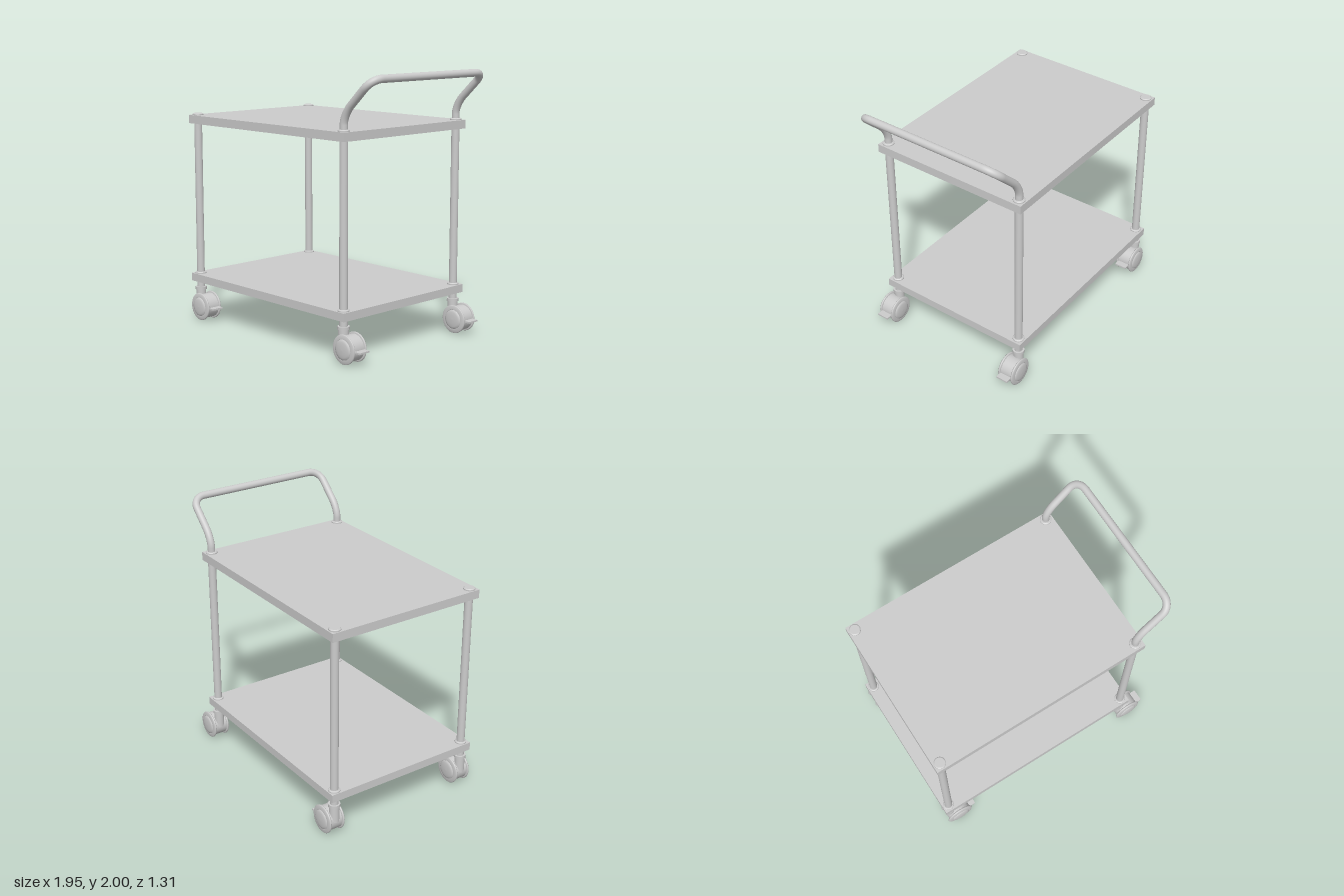
import * as THREE from 'three';

const material = new THREE.MeshStandardMaterial({ color: 0xcccccc });
const POST_X = [-0.93, 0.687], POST_Z = [-0.577, 0.577];
const TUBE = 0.03;

function add(parent, name, geometry, x = 0, y = 0, z = 0) {
  const mesh = new THREE.Mesh(geometry, material);
  mesh.name = name;
  mesh.position.set(x, y, z);
  parent.add(mesh);
  return mesh;
}

// Vertical cylinder spanning y0..y1
function rod(parent, name, r, y0, y1, x = 0, z = 0) {
  return add(parent, name, new THREE.CylinderGeometry(r, r, y1 - y0, 32), x, (y0 + y1) / 2, z);
}

// Low collar with a chamfered upper edge
function collar(parent, name, y, x, z, h = 0.014) {
  const points = [[0, 0], [0.043, 0], [0.043, h * 0.6], [0.036, h], [0, h]].map(p => new THREE.Vector2(...p));
  const geometry = new THREE.LatheGeometry(points, 32).toNonIndexed();
  geometry.computeVertexNormals();
  add(parent, name, geometry, x, y, z);
}

// Sheet shelf with a turned-down rim, hollow underneath
function shelf(name, bottom, top) {
  const group = new THREE.Group();
  group.name = name;
  const x0 = -0.98, x1 = 0.742, w = x1 - x0, d = 1.256, t = 0.012, h = top - bottom;
  const cx = (x0 + x1) / 2, cy = (top + bottom) / 2;
  add(group, 'shelfPanel', new THREE.BoxGeometry(w, t, d), cx, top - t / 2, 0);
  for (const s of [-1, 1]) {
    add(group, 'longRim', new THREE.BoxGeometry(w, h, t), cx, cy, s * (d - t) / 2);
    add(group, 'shortRim', new THREE.BoxGeometry(t, h, d), cx + s * (w - t) / 2, cy, 0);
  }
  return group;
}

// Twin-wheel swivel caster, origin on the floor below its stem
function caster() {
  const group = new THREE.Group();
  group.name = 'caster';
  rod(group, 'stem', 0.03, 0.24, 0.33);
  rod(group, 'swivelRing', 0.044, 0.232, 0.254);
  rod(group, 'swivelHousing', 0.038, 0.11, 0.24);

  const axle = new THREE.Group();
  axle.name = 'wheels';
  axle.position.set(0.062, 0.108, 0);
  group.add(axle);
  const drum = add(axle, 'wheelHousing', new THREE.CylinderGeometry(0.094, 0.094, 0.105, 40));
  drum.rotation.x = Math.PI / 2;

  // Rounded tyre with a recessed ring and domed hub cover
  const tyre = [[0.088, 0.048], [0.102, 0.048], [0.107, 0.053], [0.107, 0.059], [0.102, 0.064], [0.076, 0.069], [0.073, 0.065]];
  const hub = [[0.074, 0.062], [0.072, 0.071], [0.055, 0.076], [0.03, 0.079], [0, 0.08]];
  for (const s of [-1, 1]) {
    for (const [name, profile] of [['tyre', tyre], ['hubCover', hub]]) {
      const points = profile.map(([r, y]) => new THREE.Vector2(r, y));
      add(axle, name, new THREE.LatheGeometry(points, 40)).rotation.x = s * Math.PI / 2;
    }
  }
  add(axle, 'brakePedal', new THREE.BoxGeometry(0.07, 0.012, 0.095), 0.11, -0.003, 0);
  return group;
}

// Push handle: bent tube rising from the two end posts
function handle() {
  const path = new THREE.CurvePath();
  const v = (x, y, z) => new THREE.Vector3(x, y, z);
  const x = POST_X[1], z = POST_Z[1];
  const foot = v(x, 1.6, z), bendA = v(x, 1.655, z), knee = v(x, 1.725, z);
  const bendB = v(0.758, 1.792, z), cornerA = v(0.878, 1.905, z);
  const corner = v(0.947, 1.972, z), cornerB = v(0.947, 1.972, z - 0.1);
  const mirror = p => v(p.x, p.y, -p.z);
  // Cubic with handles near 0.6 approximates a circular bend
  const bend = (a, c, b) => new THREE.CubicBezierCurve3(a, a.clone().lerp(c, 0.58), b.clone().lerp(c, 0.58), b);
  path.add(new THREE.LineCurve3(foot, bendA));
  path.add(bend(bendA, knee, bendB));
  path.add(new THREE.LineCurve3(bendB, cornerA));
  path.add(bend(cornerA, corner, cornerB));
  path.add(new THREE.LineCurve3(cornerB, mirror(cornerB)));
  path.add(bend(mirror(cornerB), mirror(corner), mirror(cornerA)));
  path.add(new THREE.LineCurve3(mirror(cornerA), mirror(bendB)));
  path.add(bend(mirror(bendB), mirror(knee), mirror(bendA)));
  path.add(new THREE.LineCurve3(mirror(bendA), mirror(foot)));
  return new THREE.TubeGeometry(path, 180, 0.028, 24, false);
}

export function createModel() {
  const model = new THREE.Group();
  model.name = 'serviceTrolley';
  model.add(shelf('lowerShelf', 0.3, 0.361), shelf('upperShelf', 1.546, 1.61));

  // Posts, collars and casters at each corner
  for (const x of POST_X) {
    for (const z of POST_Z) {
      rod(model, 'post', TUBE, 0.3, 1.605, x, z);
      collar(model, 'postCollar', 0.361, x, z);
      collar(model, x < 0 ? 'postCap' : 'handleCollar', 1.61, x, z);
      const wheelSet = caster();
      wheelSet.position.set(x, 0, z);
      model.add(wheelSet);
    }
  }
  add(model, 'pushHandle', handle());
  return model;
}
